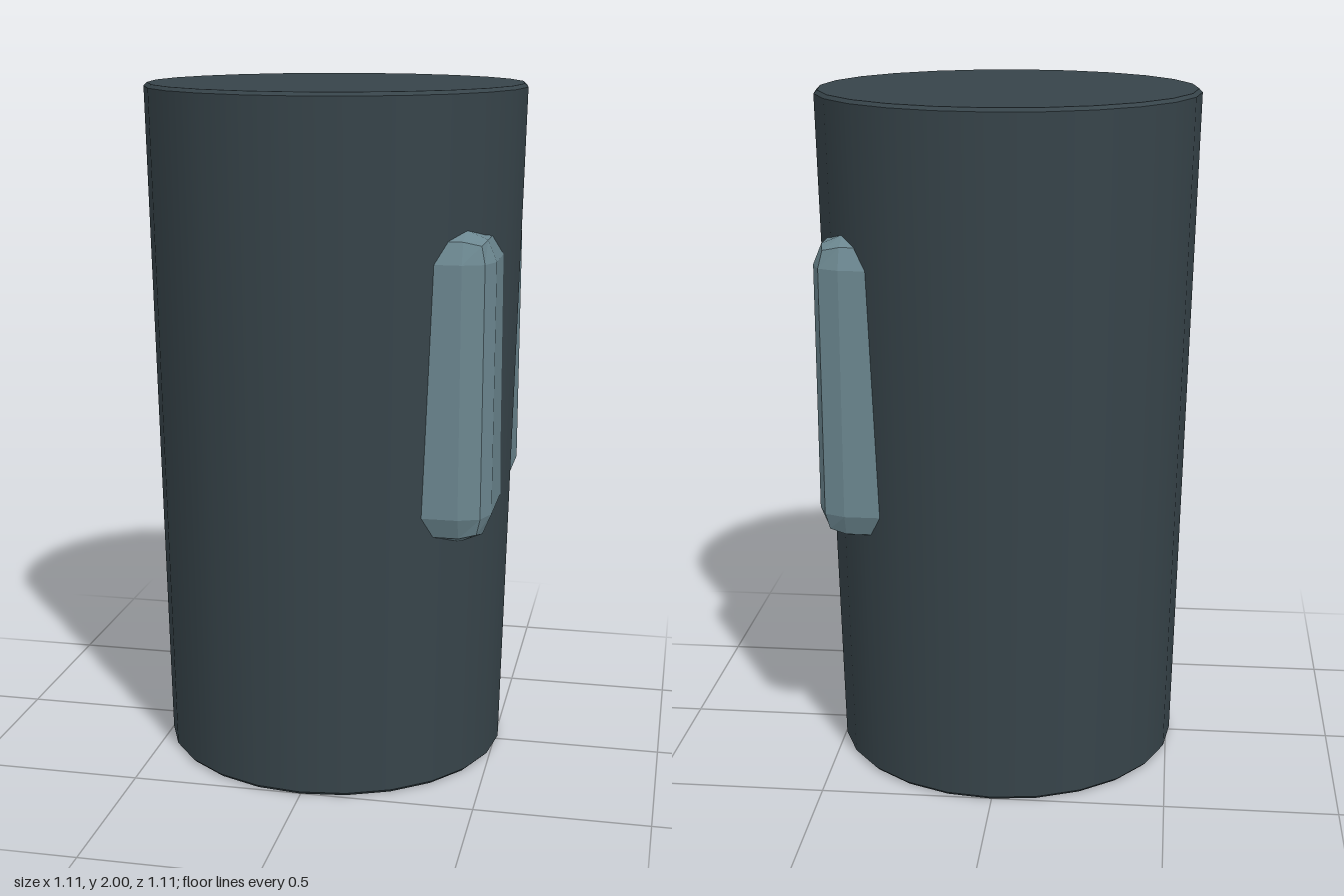
import * as THREE from 'three';
import { RoundedBoxGeometry } from 'three/addons/geometries/RoundedBoxGeometry.js';

const SIDES = 24;
const HEIGHT = 2;
const BEVEL = 0.01;
const BOTTOM_R = 0.511;
const TOP_R = 0.556;

export function createModel() {
  const darkSlate = new THREE.MeshStandardMaterial({ color: 0x37444a });
  darkSlate.name = 'darkSlate';
  const paleSlate = new THREE.MeshStandardMaterial({ color: 0x6c8790, flatShading: true });
  paleSlate.name = 'paleSlate';

  const model = new THREE.Group();
  model.name = 'taperedCylinder';

  const add = (name, geometry, material, x = 0, y = 0, z = 0) => {
    const mesh = new THREE.Mesh(geometry, material);
    mesh.name = name;
    mesh.position.set(x, y, z);
    model.add(mesh);
    return mesh;
  };

  // Open bands stacked upwards: bottom bevel, tapered wall, top bevel
  const band = (name, rBottom, rTop, y0, y1) =>
    add(name, new THREE.CylinderGeometry(rTop, rBottom, y1 - y0, SIDES, 1, true), darkSlate, 0, (y0 + y1) / 2);
  band('bottomBevel', BOTTOM_R - BEVEL, BOTTOM_R, 0, BEVEL);
  band('wall', BOTTOM_R, TOP_R, BEVEL, HEIGHT - BEVEL);
  band('topBevel', TOP_R, TOP_R - BEVEL, HEIGHT - BEVEL, HEIGHT);

  // Flat end caps
  add('topCap', new THREE.CircleGeometry(TOP_R - BEVEL, SIDES), darkSlate, 0, HEIGHT).rotation.x = -Math.PI / 2;
  add('bottomCap', new THREE.CircleGeometry(BOTTOM_R - BEVEL, SIDES), darkSlate).rotation.x = Math.PI / 2;

  // One bevelled block set into the side; its two outer corners break through the wall
  add('insetBlock', new RoundedBoxGeometry(0.6, 0.885, 0.82, 1, 0.085), paleSlate, 0.215, 1.18, 0);

  return model;
}
